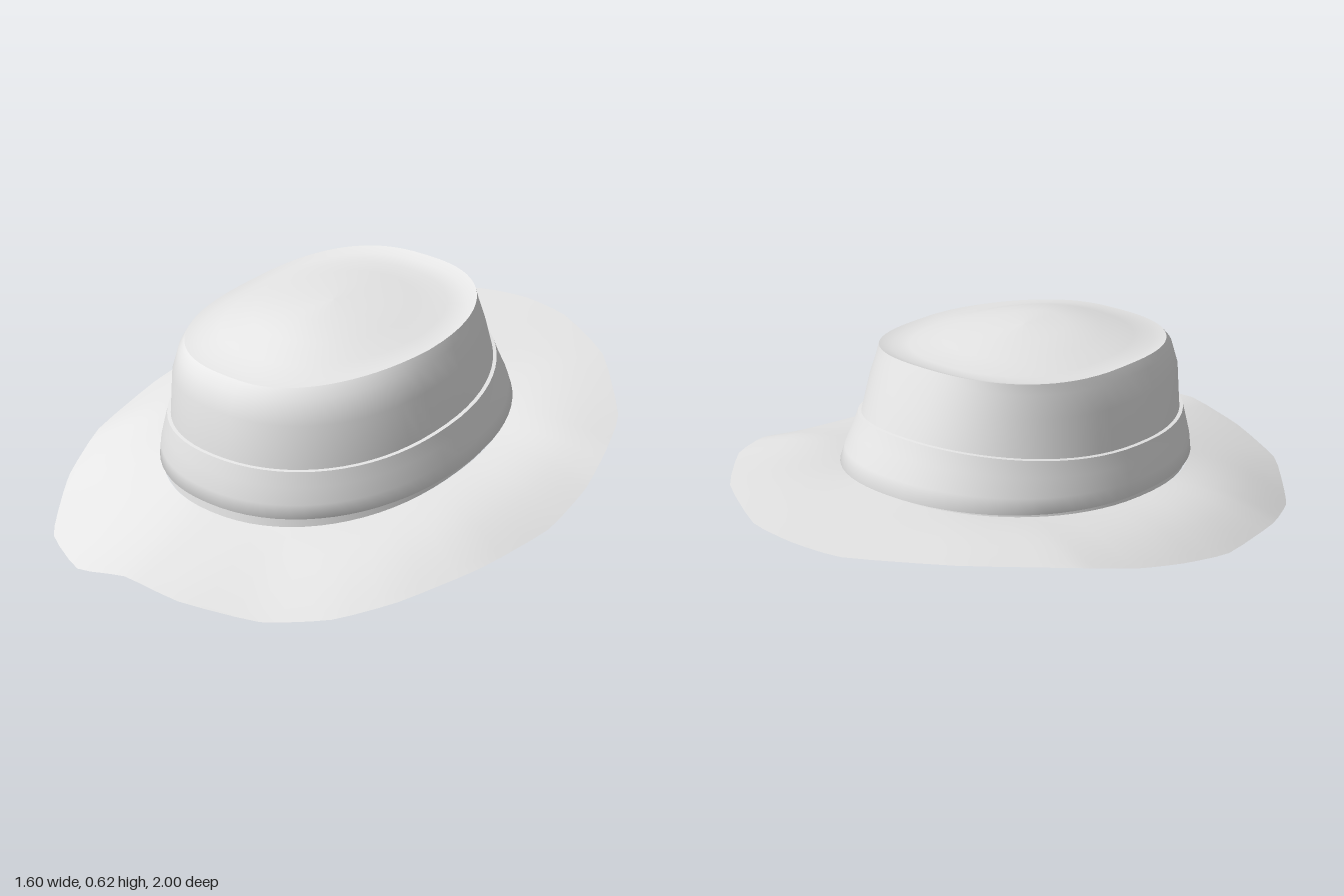
import * as THREE from 'three';

const N = 72;

// Oval ring: half width, front z, back z, heights at front / sides / back, squareness (1 = ellipse),
// and how far the front left corner is pinched in
function oval(rx, zf, zb, yf, ys, yb, e = 0.92, pinch = 0) {
  const pts = [];
  const pow = (v) => Math.sign(v) * Math.abs(v) ** e;
  for (let i = 0; i < N; i++) {
    const a = (i / N) * Math.PI * 2, c = Math.cos(a);
    const y = ys + ((yf - yb) / 2) * c + ((yf + yb) / 2 - ys) * c * c;
    const x = rx * pow(Math.sin(a)) - (a < Math.PI / 2 ? pinch * Math.sin(2 * a) : 0);
    pts.push(new THREE.Vector3(x, y, (zf + zb) / 2 + ((zf - zb) / 2) * pow(c)));
  }
  return pts;
}

// Skin a stack of rings; an outward face results when rings run upward or inward on top
function loft(rings) {
  const pos = [], idx = [];
  for (const r of rings) for (const p of r) pos.push(p.x, p.y, p.z);
  for (let i = 0; i < rings.length - 1; i++) {
    for (let j = 0; j < N; j++) {
      const a = i * N + j, b = i * N + ((j + 1) % N);
      idx.push(a, b, a + N, b, b + N, a + N);
    }
  }
  const g = new THREE.BufferGeometry();
  g.setAttribute('position', new THREE.Float32BufferAttribute(pos, 3));
  g.setIndex(idx);
  g.computeVertexNormals();
  return g;
}

// Wavy outer edge of the brim, from the front round by +x
const EDGE = [
  [0, 0.08, 0.995], [0.2, 0.07, 0.985], [0.42, 0.04, 0.885], [0.57, 0.042, 0.75],
  [0.67, 0.055, 0.575], [0.76, 0.075, 0.31], [0.8, 0.09, 0.02], [0.785, 0.13, -0.2],
  [0.745, 0.18, -0.37], [0.67, 0.205, -0.55], [0.44, 0.25, -0.81], [0.18, 0.26, -0.97],
  [0, 0.265, -1], [-0.17, 0.26, -0.975], [-0.44, 0.25, -0.8], [-0.66, 0.215, -0.55],
  [-0.74, 0.165, -0.36], [-0.78, 0.125, -0.18], [-0.8, 0.085, 0.03], [-0.75, 0.05, 0.35],
  [-0.66, 0.01, 0.57], [-0.56, 0.002, 0.71], [-0.42, 0.006, 0.875], [-0.2, 0.027, 0.99],
];

export function createModel() {
  const hat = new THREE.Group();
  hat.name = 'hat';
  const felt = new THREE.MeshStandardMaterial({ color: 0xe7e7e7 });
  felt.name = 'light grey felt';
  const add = (name, rings) => {
    const m = new THREE.Mesh(loft(rings), felt);
    m.name = name;
    hat.add(m);
  };

  // Brim: blends from the crown base to the wavy edge, arched at the sides
  const corners = EDGE.map((p) => new THREE.Vector3(...p));
  const curve = new THREE.CatmullRomCurve3(corners, true, 'catmullrom', 0.25);
  const edge = Array.from({ length: N }, (_, i) => curve.getPoint(i / N));
  const brimRing = (base, s, drop) => base.map((p, i) => {
    const q = p.clone().lerp(edge[i], s);
    const side = Math.sin((i / N) * Math.PI * 2) ** 2;
    q.y += 0.025 * side * Math.sin(Math.PI * s) - drop * (1 - s);
    return q;
  });
  const steps = [1, 0.92, 0.8, 0.65, 0.5, 0.35, 0.22, 0.12, 0.05, 0];
  const base = oval(0.475, 0.625, -0.58, 0.13, 0.18, 0.255);
  const opening = oval(0.455, 0.605, -0.56, 0.125, 0.175, 0.25);
  add('brimTop', steps.map((s) => brimRing(base, s, 0)));
  add('brimUnderside', [...steps].reverse().map((s) => brimRing(opening, s, 0.012)));

  // Crown wall
  const rim = oval(0.375, 0.53, -0.42, 0.54, 0.567, 0.615, 0.8, 0.035);
  add('crownWall', [
    oval(0.468, 0.62, -0.575, 0.125, 0.175, 0.25),
    oval(0.435, 0.602, -0.507, 0.32, 0.335, 0.425),
    oval(0.415, 0.588, -0.465, 0.45, 0.465, 0.52, 0.88),
    oval(0.39, 0.562, -0.435, 0.515, 0.535, 0.585, 0.84, 0.02),
    rim,
  ]);

  // Crown top: a shallow crease inside the rim, then a low dome
  add('crownTop', [
    rim,
    oval(0.345, 0.49, -0.385, 0.545, 0.562, 0.602, 0.82, 0.03),
    oval(0.3, 0.42, -0.33, 0.562, 0.572, 0.595, 0.86, 0.02),
    oval(0.22, 0.32, -0.23, 0.596, 0.594, 0.606, 0.92),
    oval(0.12, 0.2, -0.1, 0.617, 0.614, 0.618, 1),
    oval(0, 0.05, 0.05, 0.622, 0.622, 0.622, 1),
  ]);

  // Hat band: tucked under at the bottom, with a narrow ledge at its top
  const bandTop = oval(0.447, 0.613, -0.518, 0.312, 0.333, 0.42);
  add('band', [
    oval(0.466, 0.618, -0.572, 0.158, 0.19, 0.254),
    oval(0.483, 0.637, -0.588, 0.165, 0.197, 0.262),
    oval(0.475, 0.634, -0.57, 0.21, 0.24, 0.31),
    oval(0.459, 0.624, -0.54, 0.265, 0.29, 0.37),
    bandTop,
  ]);
  add('bandLedge', [bandTop, oval(0.43, 0.597, -0.5, 0.314, 0.335, 0.422)]);

  // Hollow inside: ceiling, then the lining down to the opening
  const innerRim = oval(0.36, 0.515, -0.405, 0.525, 0.552, 0.597, 0.8, 0.035);
  add('ceiling', [
    oval(0, 0.05, 0.05, 0.607, 0.607, 0.607, 1),
    oval(0.2, 0.3, -0.21, 0.584, 0.581, 0.592, 0.92),
    oval(0.3, 0.42, -0.33, 0.547, 0.557, 0.58, 0.86, 0.02),
    innerRim,
  ]);
  add('lining', [
    innerRim,
    oval(0.4, 0.573, -0.45, 0.45, 0.465, 0.52, 0.88),
    oval(0.42, 0.587, -0.492, 0.32, 0.335, 0.425),
    brimRing(opening, 0, 0.012),
  ]);

  return hat;
}
